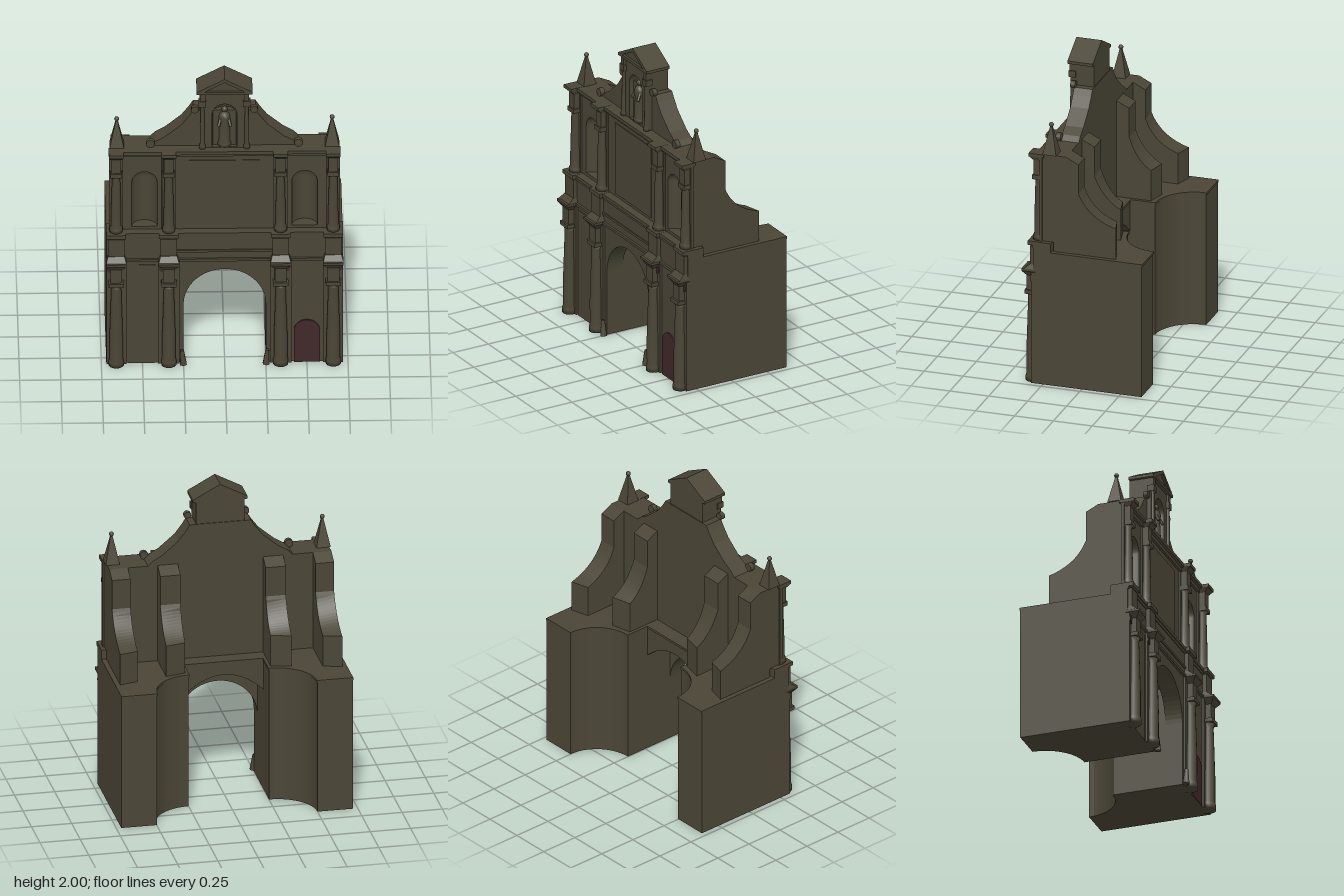
import * as THREE from 'three';

export function createModel() {
  const model = new THREE.Group();
  const stone = new THREE.MeshStandardMaterial({ color: 0x4a4536, side: THREE.DoubleSide });
  stone.name = 'weathered stone';
  const red = new THREE.MeshStandardMaterial({ color: 0x40272a, side: THREE.DoubleSide });
  red.name = 'dark red paint';

  const add = (name, geo, x = 0, y = 0, z = 0, mat = stone) => {
    const m = new THREE.Mesh(geo, mat);
    m.name = name;
    m.position.set(x, y, z);
    model.add(m);
    return m;
  };
  // Box given by its limits
  const box = (name, x0, x1, y0, y1, z0, z1) =>
    add(name, new THREE.BoxGeometry(Math.abs(x1 - x0), y1 - y0, z1 - z0), (x0 + x1) / 2, (y0 + y1) / 2, (z0 + z1) / 2);
  const poly = pts => new THREE.Shape(pts.map(p => new THREE.Vector2(p[0], p[1])));
  const slab = (shape, depth) => new THREE.ExtrudeGeometry(shape, { depth, bevelEnabled: false, curveSegments: 14 });
  // Outline in the front plane, extruded from z0 to z1
  const plate = (name, shape, z0, z1, mat) => add(name, slab(shape, z1 - z0), 0, 0, z0, mat);
  // Round-headed opening
  const archPath = (cx, r, y0, spring, Kind = THREE.Path) => {
    const p = new Kind();
    p.moveTo(cx - r, y0);
    p.lineTo(cx + r, y0);
    p.lineTo(cx + r, spring);
    p.absarc(cx, spring, r, 0, Math.PI, false);
    p.lineTo(cx - r, y0);
    return p;
  };
  const lathe = (pts, n = 14) => new THREE.LatheGeometry(pts.map(p => new THREE.Vector2(p[0], p[1])), n);
  // Block flaring upward from width w0 to w1 and front z0 to z1, with a flat back
  const flare = (name, x, w0, w1, y0, y1, back, z0, z1) => {
    const g = new THREE.BoxGeometry(1, y1 - y0, 1), p = g.attributes.position;
    for (let i = 0; i < p.count; i++) {
      const top = p.getY(i) > 0;
      p.setX(i, p.getX(i) * (top ? w1 : w0));
      p.setZ(i, p.getZ(i) < 0 ? back : top ? z1 : z0);
    }
    g.computeVertexNormals();
    add(name, g, x, (y0 + y1) / 2, 0);
  };
  // Hollow half-round niche lining
  const niche = (x, r, y0, spring, z) => {
    add('nicheWall', new THREE.CylinderGeometry(r, r, spring - y0, 14, 1, true, Math.PI / 2, Math.PI), x, (y0 + spring) / 2, z);
    add('nicheDome', new THREE.SphereGeometry(r, 14, 7, Math.PI, Math.PI, 0, Math.PI / 2), x, spring, z);
  };

  // Lower front wall with the gateway
  const gate = poly([[-0.72, 0], [-0.25, 0], [-0.25, 0.415]]);
  gate.absarc(0, 0.415, 0.25, Math.PI, 0, true);
  [[0.25, 0], [0.72, 0], [0.72, 0.93], [-0.72, 0.93]].forEach(p => gate.lineTo(p[0], p[1]));
  plate('gateWall', gate, 0.2, 0.31);

  // Higher segmental vault behind the gateway
  const vault = poly([[-0.25, 0.87], [-0.25, 0.66]]);
  vault.quadraticCurveTo(0, 0.9, 0.25, 0.66);
  vault.lineTo(0.25, 0.87);
  plate('rearVault', vault, 0.02, 0.2);
  box('vaultLip', -0.25, 0.25, 0.855, 0.87, 0.014, 0.02);

  // Rear piers with concave inner corners
  const pier = (name, s, o, y0, y1) => {
    const pts = [[0.25 - o, 0.2], [0.25 - o, -0.14 - o]];
    for (let i = 1; i <= 12; i++) {
      const a = (i / 12) * Math.PI / 2;
      pts.push([0.25 + (0.25 - o) * Math.sin(a), -0.385 + (0.245 - o) * Math.cos(a)]);
    }
    pts.push([0.5 - o, -0.385 - o], [0.72, -0.385 - o], [0.72, 0.2]);
    const g = slab(poly(pts.map(([x, z]) => [s * x, -z])), y1 - y0);
    g.rotateX(-Math.PI / 2);
    add(name, g, 0, y0, 0);
  };
  // Stepped, curved buttress, its rear edge cut at a slant
  const buttress = (s, x0, x1, end) => {
    const sh = poly([[-0.11, 0.87], [-0.11, 1.5], [-0.03, 1.46], [-0.03, 1.27]]);
    sh.quadraticCurveTo(0.03, 1.12, -end, 1.07);
    sh.lineTo(-end, 0.87);
    const g = slab(sh, x1 - x0);
    g.rotateY(Math.PI / 2);
    const p = g.attributes.position;
    for (let i = 0; i < p.count; i++) {
      const inner = s > 0 ? p.getX(i) < 0.01 : p.getX(i) > 0.01;
      if (inner && p.getZ(i) < 0.02) p.setZ(i, p.getZ(i) + 0.03 * (p.getZ(i) - 0.03) / (end - 0.03));
    }
    g.computeVertexNormals();
    add('buttress', g, s > 0 ? x0 : -x1, 0, 0);
  };

  // Upper wall with two niches
  const upper = poly([[-0.69, 0.93], [0.69, 0.93], [0.69, 1.5], [-0.69, 1.5]]);
  for (const s of [-1, 1]) upper.holes.push(archPath(s * 0.487, 0.078, 0.95, 1.262));
  plate('upperWall', upper, 0.19, 0.27);
  box('upperWallBack', -0.69, 0.69, 0.87, 1.5, 0.11, 0.19);
  box('centrePanel', -0.215, 0.215, 0.95, 1.42, 0.27, 0.275);

  // Horizontal mouldings
  box('impostBand', -0.72, 0.72, 0.728, 0.745, 0.2, 0.325);
  box('friezeBand', -0.31, 0.31, 0.79, 0.805, 0.3, 0.318);
  box('middleCornice', -0.72, 0.72, 0.908, 0.93, 0.2, 0.322);
  box('middleCorniceBed', -0.72, 0.72, 0.89, 0.908, 0.2, 0.315);
  box('topCornice', -0.7, 0.7, 1.478, 1.5, 0.25, 0.305);
  box('topCorniceBed', -0.69, 0.69, 1.455, 1.478, 0.26, 0.285);

  const lowerColumn = lathe([[0, 0], [0.047, 0], [0.047, 0.03], [0.041, 0.05], [0.042, 0.2], [0.031, 0.55], [0.038, 0.575], [0, 0.575]]);
  const upperColumn = lathe([[0, 0], [0.04, 0], [0.04, 0.025], [0.032, 0.04], [0.032, 0.12], [0.025, 0.39], [0.034, 0.4], [0, 0.4]]);
  const slimColumn = lathe([[0, 0], [0.02, 0], [0.02, 0.02], [0.015, 0.03], [0.012, 0.29], [0.019, 0.3], [0, 0.3]], 10);

  for (const s of [-1, 1]) {
    pier('rearPier', s, 0, 0, 0.86);
    pier('pierLip', s, 0.005, 0.855, 0.87);
    buttress(s, 0.575, 0.69, -0.21);
    buttress(s, 0.265, 0.39, -0.14);

    // Stacked orders of columns with their entablature blocks
    for (const [cx, x0, x1] of [[0.34, 0.275, 0.405], [0.66, 0.597, 0.72]]) {
      const x = s * cx;
      box('pilaster', s * x0, s * x1, 0, 0.73, 0.3, 0.323);
      add('lowerColumn', lowerColumn, x, 0, 0.33);
      box('lowerCapital', x - 0.046, x + 0.046, 0.575, 0.6, 0.3, 0.372);
      box('lowerBlock', x - 0.036, x + 0.036, 0.6, 0.7, 0.3, 0.36);
      flare('lowerFlare', x, 0.072, 0.125, 0.695, 0.73, 0.3, 0.36, 0.385);
      box('lowerFlareTop', s * x0, s * x1, 0.73, 0.745, 0.3, 0.386);
      flare('pedestalFoot', x, 0.122, 0.1, 0.745, 0.775, 0.3, 0.37, 0.336);
      box('pedestal', x - 0.05, x + 0.05, 0.775, 0.895, 0.3, 0.335);
      box('pedestalCornice', x - 0.06, x + 0.06, 0.905, 0.931, 0.25, 0.346);
      add('redRoundel', new THREE.CylinderGeometry(0.03, 0.03, 0.006, 16), s * (cx + 0.03), 0.685, 0.326, red).rotation.x = Math.PI / 2;

      box('upperPilaster', x - 0.042, x + 0.03 + 0.012, 0.93, 1.478, 0.26, 0.28);
      add('upperColumn', upperColumn, x, 0.93, 0.29);
      box('upperCapital', x - 0.036, x + 0.036, 1.33, 1.358, 0.26, 0.326);
      box('upperBlock', x - 0.03, x + 0.03, 1.358, 1.46, 0.26, 0.318);
      flare('upperFlare', x, 0.062, 0.088, 1.455, 1.48, 0.26, 0.318, 0.342);
      box('upperFlareTop', x - 0.045, x + 0.045, 1.48, 1.501, 0.25, 0.346);
    }
    niche(s * 0.487, 0.078, 0.95, 1.262, 0.27);

    // Corner pinnacle with ball
    const spire = new THREE.CylinderGeometry(0.008, 0.062, 0.18, 4).toNonIndexed();
    spire.rotateY(Math.PI / 4);
    spire.computeVertexNormals();
    add('pinnacle', spire, s * 0.655, 1.59, 0.215);
    add('pinnacleBall', new THREE.SphereGeometry(0.015, 10, 8), s * 0.655, 1.688, 0.215);

    // Scrolls at both ends of the gable sweep
    for (const [x, y, r] of [[0.45, 1.525, 0.026], [0.18, 1.765, 0.023]])
      add('scroll', new THREE.CylinderGeometry(r, r, 0.03, 12), s * x, y, 0.235).rotation.x = Math.PI / 2;

    // Leaning guard stone at the gateway
    const guard = add('guardStone', new THREE.CylinderGeometry(0.012, 0.023, 0.1, 6), s * 0.255, 0.05, 0.333);
    guard.rotation.z = s * -0.08;

    // Slim columns beside the crowning niche
    add('slimColumn', slimColumn, s * 0.135, 1.5, 0.258);
    box('slimCapital', s * 0.112, s * 0.158, 1.8, 1.84, 0.23, 0.275);
    box('slimBlock', s * 0.117, s * 0.15, 1.84, 1.89, 0.23, 0.27);
  }

  // Side door and the matching blank panel
  plate('sideDoor', archPath(0.5, 0.08, 0, 0.22, THREE.Shape), 0.31, 0.318, red);
  box('blankPanel', -0.59, -0.42, 0, 0.7, 0.31, 0.314);

  // Sweeping gable
  const half = [[0.45, 1.5], [0.42, 1.53], [0.36, 1.565], [0.26, 1.65], [0.215, 1.71], [0.19, 1.75], [0.15, 1.75]];
  plate('gable', poly([...half, ...half.map(([x, y]) => [-x, y]).reverse()]), 0.11, 0.228);

  // Crowning shrine, niche and pediment
  const shrine = poly([[-0.15, 1.5], [0.15, 1.5], [0.15, 1.9], [-0.15, 1.9]]);
  shrine.holes.push(archPath(0, 0.076, 1.505, 1.734));
  plate('shrine', shrine, 0.175, 0.255);
  box('shrineBack', -0.15, 0.15, 1.5, 1.9, 0.115, 0.175);
  niche(0, 0.076, 1.505, 1.734, 0.255);
  const roof = [[-0.17, 1.89], [0.17, 1.89], [0.17, 1.908], [0, 2], [-0.17, 1.908]];
  plate('pediment', poly(roof), 0.115, 0.262);
  const rim = poly(roof);
  rim.holes.push(new THREE.Path([[-0.125, 1.908], [0.125, 1.908], [0, 1.976]].map(p => new THREE.Vector2(p[0], p[1]))));
  plate('pedimentRim', rim, 0.262, 0.278);

  // Robed statue
  add('statueRobe', lathe([[0, 0], [0.042, 0], [0.042, 0.02], [0.036, 0.025], [0.034, 0.1], [0.03, 0.16], [0.036, 0.2], [0.03, 0.225], [0.011, 0.24], [0, 0.24]]), 0, 1.505, 0.225);
  add('statueHead', new THREE.SphereGeometry(0.019, 12, 10), 0, 1.76, 0.228);
  for (const s of [-1, 1]) {
    const arm = add('statueArm', new THREE.CapsuleGeometry(0.009, 0.06, 3, 8), s * 0.028, 1.685, 0.245);
    arm.rotation.set(-0.5, 0, s * 0.25);
  }
  return model;
}
